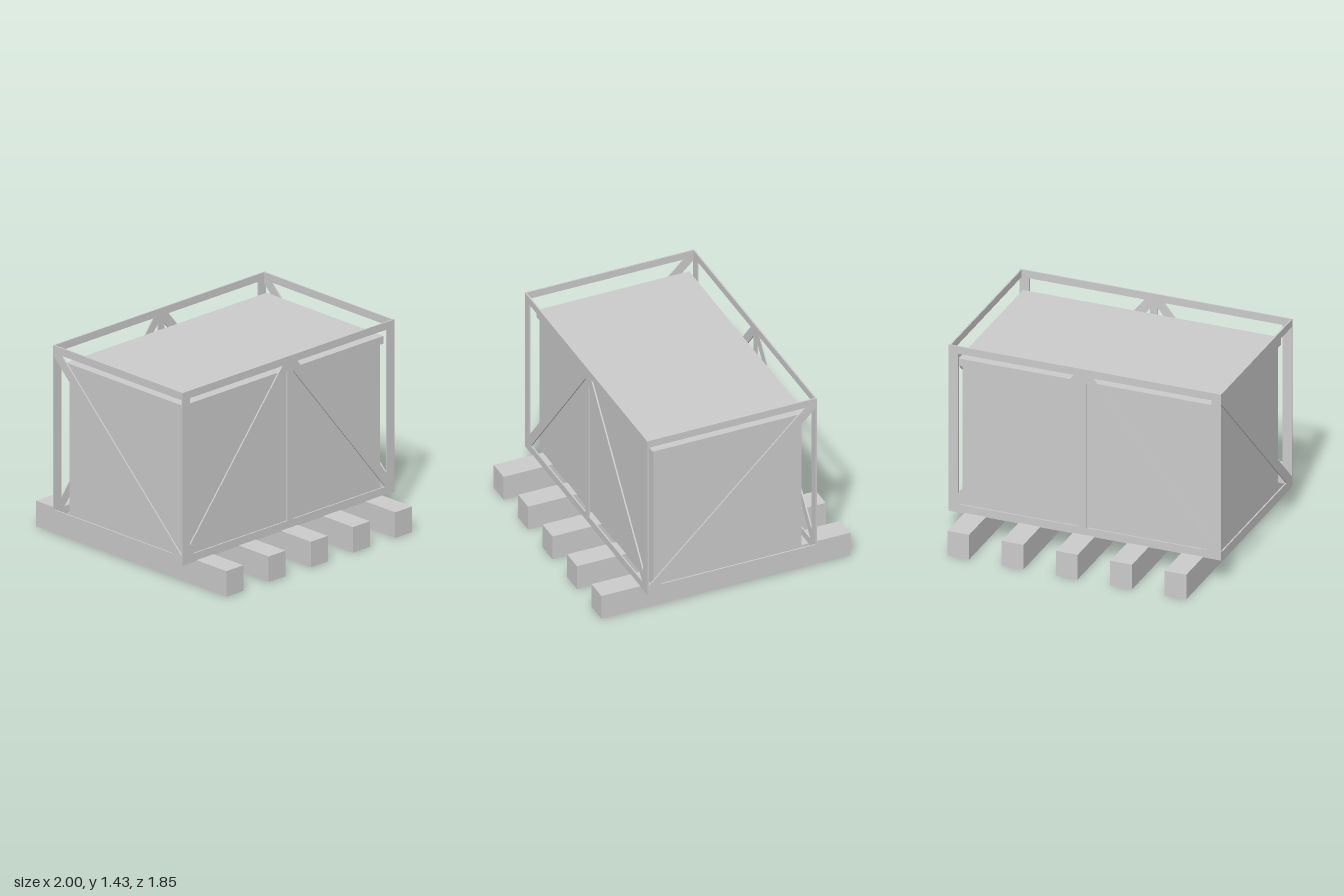
import * as THREE from 'three';

const material = new THREE.MeshStandardMaterial({ color: 0xcccccc, flatShading: true });
const PLATE = 0.01; // thickness of the flat frame bars

// Box given by its min and max corners
function block(name, [x0, y0, z0], [x1, y1, z1]) {
  const mesh = new THREE.Mesh(new THREE.BoxGeometry(x1 - x0, y1 - y0, z1 - z0), material);
  mesh.position.set((x0 + x1) / 2, (y0 + y1) / 2, (z0 + z1) / 2);
  mesh.name = name;
  return mesh;
}

const points = (list) => list.map(([x, y]) => new THREE.Vector2(x, y));

// Flat plate cut from an outline with openings
function plate(name, outline, holes = []) {
  const shape = new THREE.Shape(points(outline));
  for (const hole of holes) shape.holes.push(new THREE.Path(points(hole)));
  const geometry = new THREE.ExtrudeGeometry(shape, { depth: PLATE, bevelEnabled: false });
  const mesh = new THREE.Mesh(geometry, material);
  mesh.name = name;
  return mesh;
}

export function createModel() {
  const model = new THREE.Group();
  model.name = 'crateOnSkids';

  // Skid beams
  for (let i = 0; i < 5; i++) {
    const x = -0.79 + i * 0.3975;
    model.add(block('skidBeam', [x - 0.08, 0, -0.925], [x + 0.08, 0.185, 0.925]));
  }

  // Crate body and overhanging lid
  model.add(block('crateBody', [-0.925, 0.175, -0.54], [0.93, 1.25, 0.56]));
  model.add(block('crateLid', [-0.94, 1.25, -0.56], [0.95, 1.305, 0.575]));

  // Long frames: rails, three posts and two braces around four triangular openings
  const longOutline = [[-1, 0.18], [0.995, 0.18], [0.995, 1.43], [-1, 1.43]];
  const longOpenings = [
    [[-0.93, 0.31], [-0.93, 1.375], [-0.06, 1.375]],
    [[-0.9, 0.24], [-0.015, 1.33], [-0.015, 0.24]],
    [[0.04, 0.24], [0.04, 1.315], [0.91, 0.24]],
    [[0.08, 1.375], [0.925, 1.375], [0.925, 0.33]],
  ];
  for (const [name, z] of [['frontFrame', 0.625], ['backFrame', -0.625]]) {
    const frame = plate(name, longOutline, longOpenings);
    frame.position.z = z;
    model.add(frame);
  }

  // End frames: top and bottom rails joined by one brace, rising to the back
  const endOutline = [
    [0.635, 0.18], [-0.62, 0.18], [-0.62, 0.24], [0.53, 0.24], [-0.62, 1.355],
    [-0.62, 1.43], [0.635, 1.43], [0.635, 1.375], [-0.54, 1.375], [0.635, 0.235],
  ];
  for (const [name, x] of [['leftEndFrame', 0.99], ['rightEndFrame', -0.99]]) {
    const frame = plate(name, endOutline);
    frame.rotation.y = -Math.PI / 2;
    frame.position.x = x;
    model.add(frame);
  }

  return model;
}
